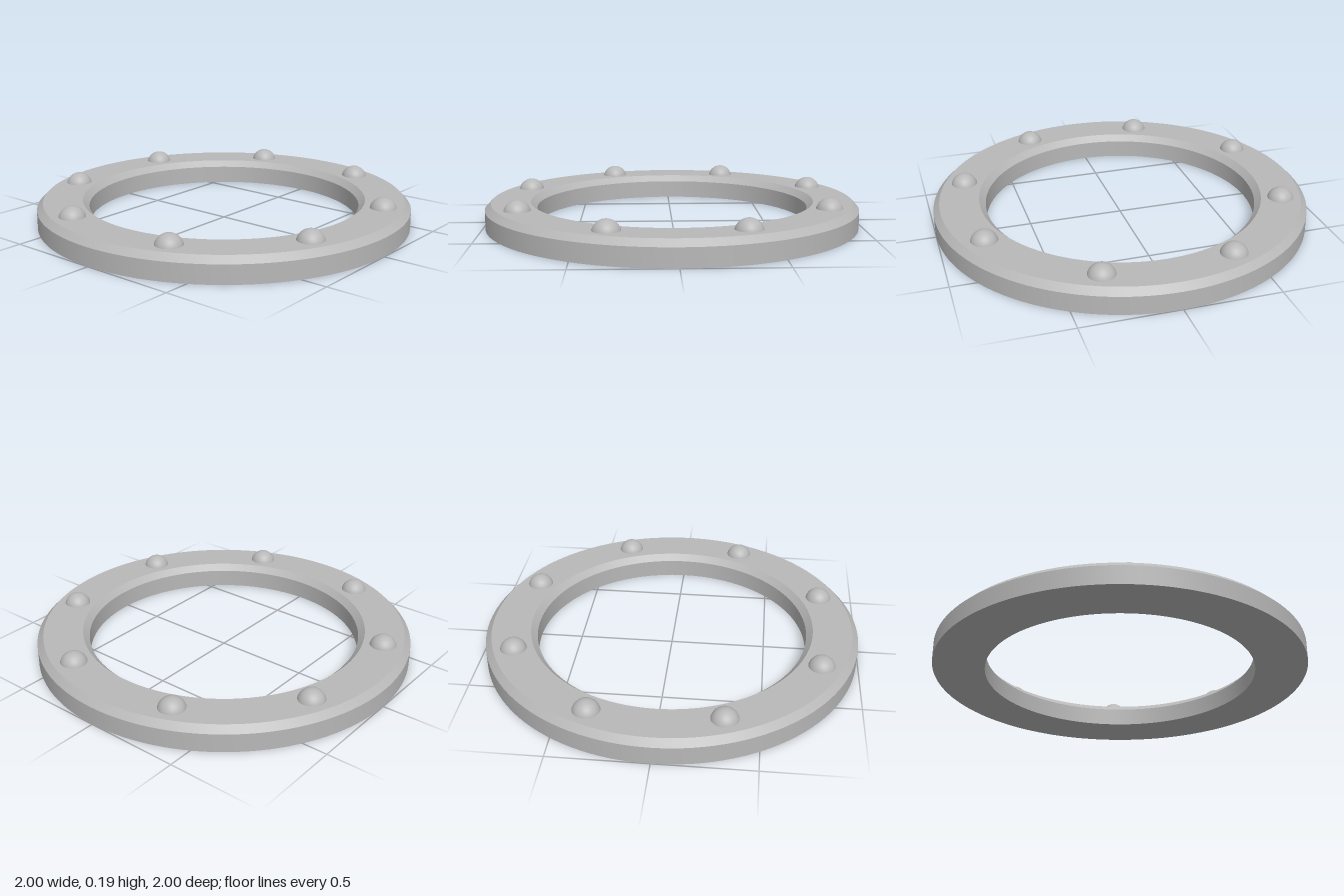
import * as THREE from 'three';
import { toCreasedNormals } from 'three/addons/utils/BufferGeometryUtils.js';

const OUTER = 1, INNER = 0.725, HEIGHT = 0.13, BEVEL = 0.033;
const STUDS = 8, STUD_CIRCLE = 0.861, STUD_RADIUS = 0.071;

export function createModel() {
  const group = new THREE.Group();
  group.name = 'studdedRing';
  const metal = new THREE.MeshStandardMaterial({ color: 0xb8b8b8 });
  metal.name = 'grey metal';

  // Flat ring with both top edges bevelled
  const profile = [
    [INNER, 0], [OUTER, 0],
    [OUTER, HEIGHT - BEVEL], [OUTER - BEVEL, HEIGHT],
    [INNER + BEVEL, HEIGHT], [INNER, HEIGHT - BEVEL],
    [INNER, 0],
  ].map(([x, y]) => new THREE.Vector2(x, y));
  const ring = new THREE.Mesh(toCreasedNormals(new THREE.LatheGeometry(profile, 128), 0.5), metal);
  ring.name = 'ring';
  group.add(ring);

  // Domed studs, sunk slightly into the top face
  const dome = new THREE.SphereGeometry(STUD_RADIUS, 32, 12, 0, Math.PI * 2, 0, Math.PI / 2);
  for (let i = 0; i < STUDS; i++) {
    const angle = ((i + 0.5) / STUDS) * Math.PI * 2;
    const stud = new THREE.Mesh(dome, metal);
    stud.name = `stud${i + 1}`;
    stud.position.set(Math.cos(angle) * STUD_CIRCLE, HEIGHT - 0.016, Math.sin(angle) * STUD_CIRCLE);
    group.add(stud);
  }
  return group;
}
